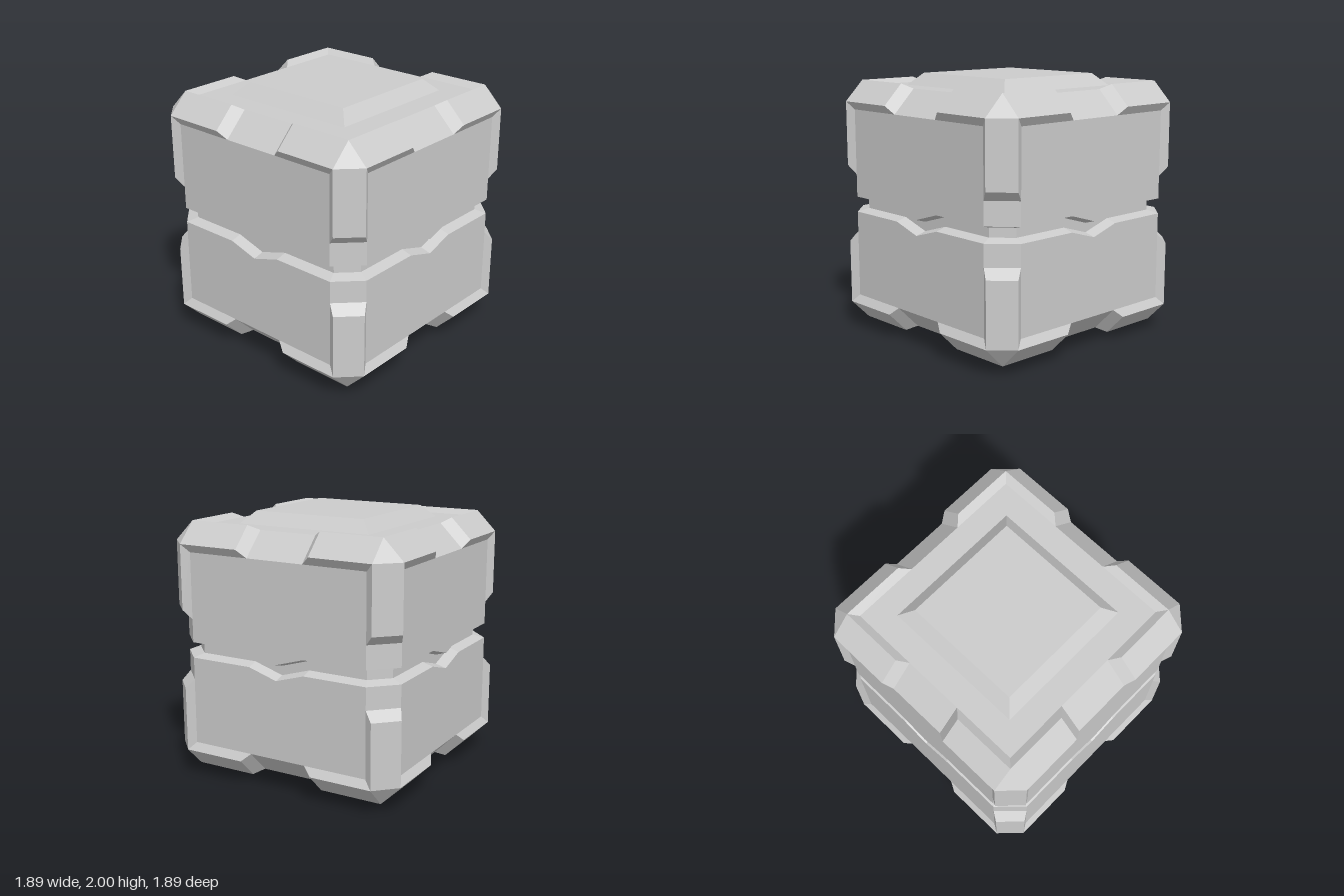
import * as THREE from 'three';

const PANEL = 0.908, PANEL_EDGE = 0.73; // panel distance from centre, half width of panel
const RIDGE = 0.945, RIDGE_EDGE = 0.79; // same for the raised frame
const NOTCH = 0.23, NOTCH_OUT = 0.3;    // half width of the gaps in the frame

const material = new THREE.MeshStandardMaterial({ color: 0xcccccc, flatShading: true });

function meshFromTriangles(name, tris) {
  const geometry = new THREE.BufferGeometry().setFromPoints(tris.flat());
  geometry.computeVertexNormals();
  const mesh = new THREE.Mesh(geometry, material);
  mesh.name = name;
  return mesh;
}

const quad = (a, b, c, d) => [[a, b, c], [a, c, d]];

// Chamfered square outline; the middle of each side dips to form the chevron
function ring(half, edge, y, dip = 0) {
  const points = [];
  for (let side = 0; side < 4; side++) {
    for (const x of [-edge, -NOTCH, 0, NOTCH, edge]) {
      const p = new THREE.Vector3(x, y - (x === 0 ? dip : 0), half);
      points.push(p.applyAxisAngle(new THREE.Vector3(0, 1, 0), side * Math.PI / 2));
    }
  }
  return points;
}

// Main body with chamfered edges and a chevron groove around the waist
function makeBody() {
  const dip = 0.07;
  const rings = [
    ring(PANEL_EDGE, PANEL_EDGE, 1 - PANEL),
    ring(PANEL, PANEL_EDGE, 1 - PANEL_EDGE),
    ring(PANEL, PANEL_EDGE, 0.937, dip),
    ring(0.825, 0.693, 0.96, dip),
    ring(0.825, 0.693, 1.03, dip),
    ring(PANEL, PANEL_EDGE, 1.055, dip),
    ring(PANEL, PANEL_EDGE, 1 + PANEL_EDGE),
    ring(PANEL_EDGE, PANEL_EDGE, 1 + PANEL),
  ];
  const tris = [];
  const n = rings[0].length;
  const bottom = new THREE.Vector3(0, 1 - PANEL, 0);
  const top = new THREE.Vector3(0, 1 + PANEL, 0);
  for (let i = 0; i < n; i++) {
    const j = (i + 1) % n;
    for (let k = 0; k < rings.length - 1; k++) {
      tris.push(...quad(rings[k][i], rings[k][j], rings[k + 1][j], rings[k + 1][i]));
    }
    tris.push([bottom, rings[0][j], rings[0][i]]);
    tris.push([top, rings[rings.length - 1][i], rings[rings.length - 1][j]]);
  }
  const area = new THREE.Triangle();
  return meshFromTriangles('body', tris.filter((t) => area.set(...t).getArea() > 1e-7));
}

// Raised corner guard: three bevelled arms meeting at a small triangle
function makeCorner(sx, sy, sz) {
  const v = (x, y, z) => new THREE.Vector3(x, y, z);
  const innerStart = v(NOTCH, PANEL_EDGE, PANEL), innerEnd = v(PANEL_EDGE, PANEL_EDGE, PANEL);
  const ridgeStart = v(NOTCH_OUT, RIDGE_EDGE, RIDGE), ridgeEnd = v(RIDGE_EDGE, RIDGE_EDGE, RIDGE);
  const swap = (p) => v(p.x, p.z, p.y);
  const arm = [
    ...quad(ridgeStart, ridgeEnd, swap(ridgeEnd), swap(ridgeStart)),
    ...quad(innerStart, innerEnd, ridgeEnd, ridgeStart),
    ...quad(swap(ridgeStart), swap(ridgeEnd), swap(innerEnd), swap(innerStart)),
    ...quad(innerStart, ridgeStart, swap(ridgeStart), swap(innerStart)),
  ];
  const turns = [(p) => v(p.x, p.y, p.z), (p) => v(p.z, p.x, p.y), (p) => v(p.y, p.z, p.x)];
  const tris = turns.flatMap((turn) => arm.map((t) => t.map(turn)));
  tris.push([v(RIDGE, RIDGE_EDGE, RIDGE_EDGE), v(RIDGE_EDGE, RIDGE, RIDGE_EDGE), ridgeEnd]);

  // Mirror into its octant, reversing the winding where needed
  const placed = tris.map((t) => {
    const m = t.map((p) => v(p.x * sx, p.y * sy + 1, p.z * sz));
    return sx * sy * sz < 0 ? m.reverse() : m;
  });
  return meshFromTriangles('cornerGuard', placed);
}

// Raised square plate with sloping sides
function makePlate(name, sign) {
  const height = 1 - PANEL;
  const geometry = new THREE.CylinderGeometry(0.453 * Math.SQRT2, 0.545 * Math.SQRT2, height, 4);
  geometry.rotateY(Math.PI / 4);
  if (sign < 0) geometry.rotateX(Math.PI);
  const plate = new THREE.Mesh(geometry, material);
  plate.position.y = 1 + sign * (1 - height / 2);
  plate.name = name;
  return plate;
}

export function createModel() {
  const model = new THREE.Group();
  model.name = 'crate';
  model.add(makeBody(), makePlate('topPlate', 1), makePlate('bottomPlate', -1));

  const guards = new THREE.Group();
  guards.name = 'cornerGuards';
  for (const sx of [-1, 1])
    for (const sy of [-1, 1])
      for (const sz of [-1, 1]) guards.add(makeCorner(sx, sy, sz));
  model.add(guards);
  return model;
}
